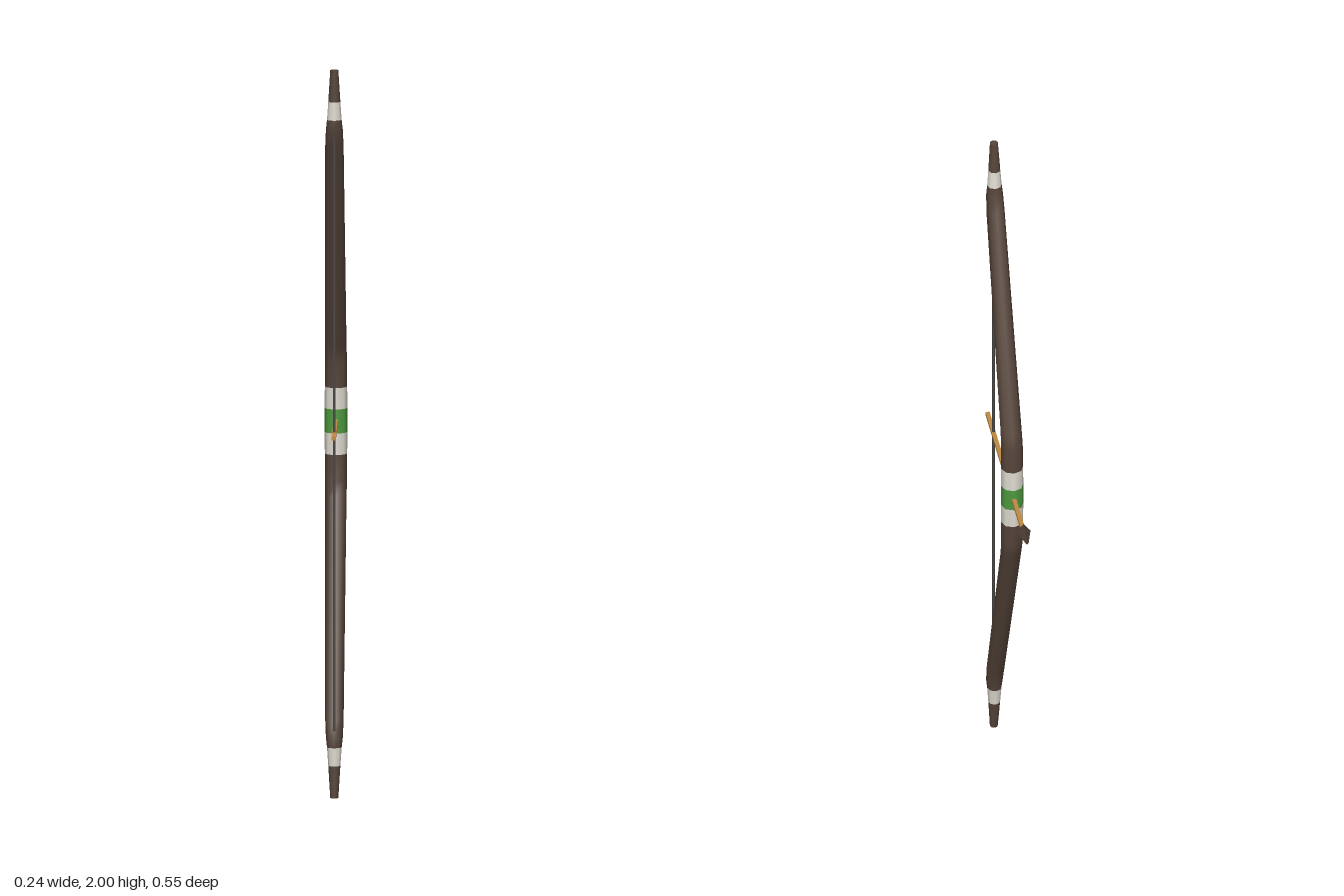
import * as THREE from 'three';

const mat = (name, color) => {
  const m = new THREE.MeshStandardMaterial({ color });
  m.name = name;
  return m;
};

// Upper half of the bow: [height above the grip centre, depth z, radius, material of the span above]
// materials: 0 wood, 1 white wrap, 2 green wrap
const HALF = [
  [0.033, -0.073, 0.031, 1],
  [0.092, -0.072, 0.0305, 0],
  [0.165, -0.069, 0.030, 0],
  [0.205, -0.058, 0.029, 0],
  [0.790, 0.177, 0.025, 0],
  [0.835, 0.189, 0.023, 0],
  [0.862, 0.191, 0.020, 1],
  [0.912, 0.193, 0.0165, 0],
  [1.000, 0.199, 0.011, 0],
];
const SIDES = 8;

// Eight-sided loft through horizontal rings, mirrored about the grip
function bowGeometry() {
  const n = HALF.length;
  const rings = [
    ...HALF.map(([y, z, r], i) => [1 - y, z, r, i > 0 ? HALF[i - 1][3] : 2]).reverse(),
    ...HALF.map(([y, z, r, m]) => [1 + y, z, r, m]),
  ];
  const pos = [], index = [];
  const addRing = ([y, z, r]) => {
    const start = pos.length / 3;
    for (let j = 0; j < SIDES; j++) {
      const a = (j / SIDES) * Math.PI * 2;
      pos.push(r * Math.cos(a), y, z + r * Math.sin(a));
    }
    return start;
  };
  const geo = new THREE.BufferGeometry();
  rings.forEach(addRing);
  for (let i = 0; i < 2 * n - 1; i++) {
    geo.addGroup(index.length, SIDES * 6, rings[i][3]);
    for (let j = 0; j < SIDES; j++) {
      const k = (j + 1) % SIDES;
      const a = i * SIDES + j, b = i * SIDES + k, c = a + SIDES, d = b + SIDES;
      index.push(a, c, b, b, c, d);
    }
  }
  // flat end caps with their own vertices
  for (const top of [false, true]) {
    const s = addRing(top ? rings[2 * n - 1] : rings[0]);
    geo.addGroup(index.length, (SIDES - 2) * 3, 0);
    for (let j = 1; j < SIDES - 1; j++) {
      if (top) index.push(s, s + j + 1, s + j);
      else index.push(s, s + j, s + j + 1);
    }
  }
  geo.setAttribute('position', new THREE.Float32BufferAttribute(pos, 3));
  geo.setIndex(index);
  geo.computeVertexNormals();
  return geo;
}

export function createModel() {
  const wood = mat('dark wood', 0x56453a);
  const white = mat('white wrap', 0xe0dcd2);
  const green = mat('green wrap', 0x4f9a40);
  const shaftWood = mat('arrow wood', 0xc08a42);
  const headDark = mat('arrowhead brown', 0x4c3d32);
  const stringGrey = mat('string grey', 0x4a4744);

  const model = new THREE.Group();
  model.name = 'bowAndArrow';
  const add = (name, geo, material, parent) => {
    const mesh = new THREE.Mesh(geo, material);
    mesh.name = name;
    parent.add(mesh);
    return mesh;
  };

  // Everything lies in one vertical plane, turned about y
  const plane = new THREE.Group();
  plane.name = 'turnedBow';
  plane.rotation.y = 0.4;
  model.add(plane);

  add('bowLimbsAndGrip', bowGeometry(), [wood, white, green], plane);

  // String between the two limb bends
  add('bowString', new THREE.CylinderGeometry(0.004, 0.004, 1.66, 6), stringGrey, plane)
    .position.set(0, 1, 0.204);

  // Arrow lying level through the grip
  const arrow = new THREE.Group();
  arrow.name = 'arrow';
  arrow.position.y = 1;
  plane.add(arrow);
  add('arrowShaft', new THREE.BoxGeometry(0.0115, 0.010, 0.536), shaftWood, arrow)
    .position.z = 0.025;

  // Four-sided blunt head with edges up, down and sideways
  const head = new THREE.CylinderGeometry(0.0055, 0.025, 0.054, 4).toNonIndexed();
  head.rotateX(-Math.PI / 2);
  head.scale(0.78, 1, 1);
  head.computeVertexNormals();
  add('arrowHead', head, headDark, arrow).position.z = -0.269;

  return model;
}
